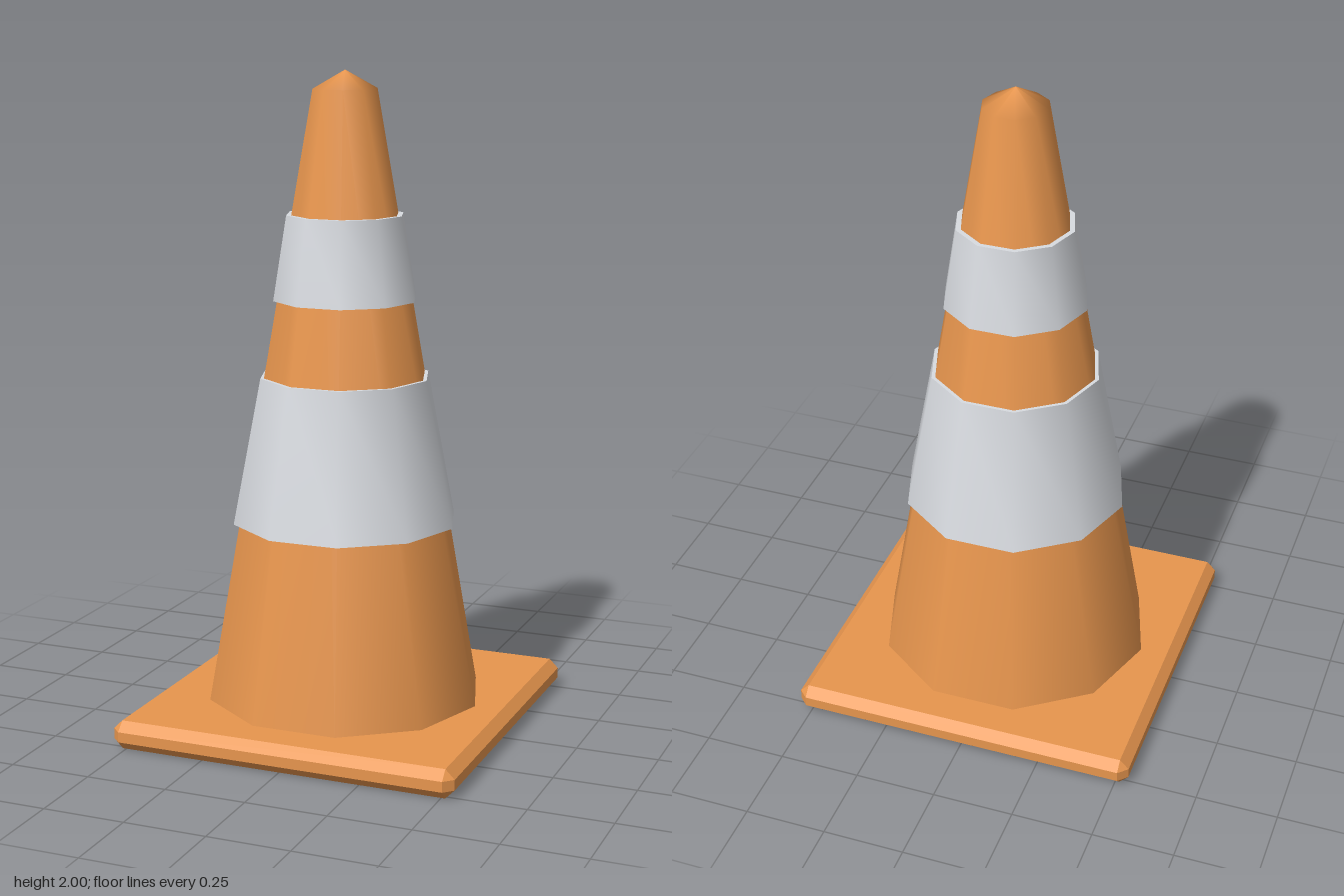
import * as THREE from 'three';
import { toCreasedNormals } from 'three/addons/utils/BufferGeometryUtils.js';
import { ConvexGeometry } from 'three/addons/geometries/ConvexGeometry.js';

const SIDES = 10;

// Ten-sided turned shape with a corner on the x axis
function turned(profile) {
  const points = profile.map(([r, y]) => new THREE.Vector2(r, y));
  return new THREE.LatheGeometry(points, SIDES, Math.PI / 2, Math.PI * 2);
}

// Box with every edge and corner bevelled
function bevelledBox(half, height, bevel) {
  const inner = half - bevel;
  const points = [];
  for (const sx of [-1, 1]) for (const sz of [-1, 1]) {
    for (const y of [0, height]) points.push(new THREE.Vector3(sx * inner, y, sz * inner));
    for (const y of [bevel, height - bevel]) {
      points.push(new THREE.Vector3(sx * half, y, sz * inner));
      points.push(new THREE.Vector3(sx * inner, y, sz * half));
    }
  }
  return new ConvexGeometry(points);
}

export function createModel() {
  const orange = new THREE.MeshStandardMaterial({ color: 0xe8964e });
  orange.name = 'orange';
  const silver = new THREE.MeshStandardMaterial({ color: 0xd8dbe0 });
  silver.name = 'silver';

  const model = new THREE.Group();
  model.name = 'trafficCone';
  const add = (name, geometry, material) => {
    const mesh = new THREE.Mesh(geometry, material);
    mesh.name = name;
    model.add(mesh);
  };

  // Square foot
  add('base', bevelledBox(0.54, 0.088, 0.028), orange);

  // Tapered body with a shallow pointed cap
  add('coneBody', turned([[0.428, 0.085], [0.099, 1.945], [0, 2]]), orange);

  // Reflective sleeves standing slightly proud of the body
  const bands = [
    ['lowerBand', 0.348, 0.64, 0.262, 1.087],
    ['upperBand', 0.221, 1.32, 0.18, 1.575],
  ];
  for (const [name, r0, y0, r1, y1] of bands) {
    const loop = [[r0 - 0.03, y0], [r0, y0], [r1, y1], [r1 - 0.03, y1]];
    add(name, toCreasedNormals(turned(loop), Math.PI / 3), silver);
  }
  return model;
}
